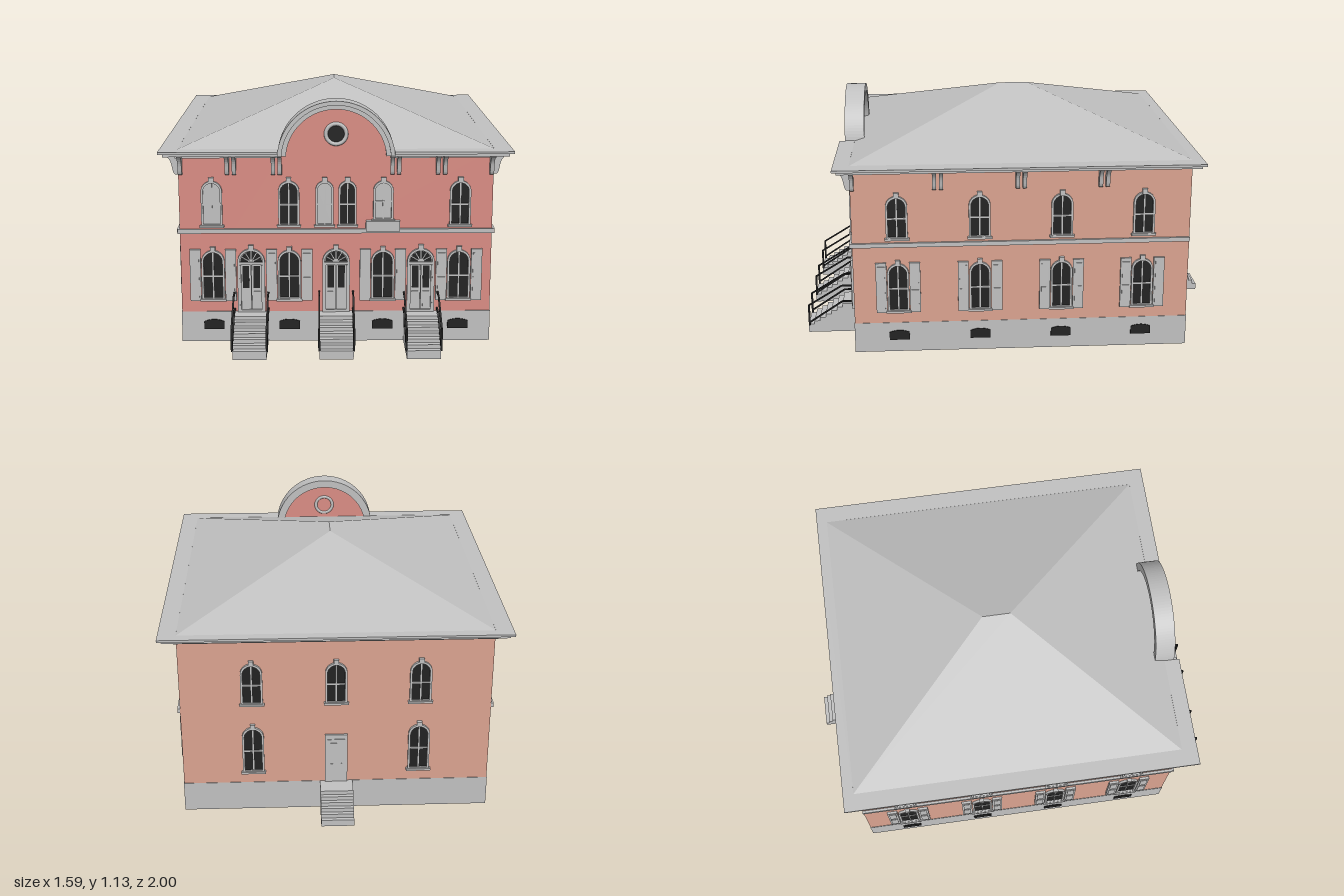
import * as THREE from 'three';

const mat = (name, color, side = THREE.FrontSide) =>
  Object.assign(new THREE.MeshStandardMaterial({ color, side }), { name });
const stone = mat('stone grey', 0xc0c0c0, THREE.DoubleSide);
const frontBrick = mat('front brick red', 0xd88c83, THREE.DoubleSide);
const sideBrick = mat('side brick salmon', 0xd9a28f, THREE.DoubleSide);
const black = mat('black', 0x222222, THREE.DoubleSide);

const X = 0.713, ZF = 0.757, ZB = -0.807, BASE = 0.145, EAVE = 0.905;

function add(parent, name, geo, material, x = 0, y = 0, z = 0) {
  const m = new THREE.Mesh(geo, material);
  m.name = name;
  m.position.set(x, y, z);
  parent.add(m);
  return m;
}
const box = (p, name, w, h, d, material, x, y, z) =>
  add(p, name, new THREE.BoxGeometry(w, h, d), material, x, y, z);
const extrude = (shape, depth) =>
  new THREE.ExtrudeGeometry(shape, { depth, bevelEnabled: false, curveSegments: 10 });
function group(parent, name, x = 0, y = 0, z = 0) {
  const g = new THREE.Group();
  g.name = name;
  g.position.set(x, y, z);
  parent.add(g);
  return g;
}
const poly = pts => new THREE.Shape(pts.map(p => new THREE.Vector2(...p)));

// Round-headed outline
function arch(hw, y0, top, Type = THREE.Shape) {
  const s = new Type();
  s.moveTo(-hw, y0);
  s.lineTo(hw, y0);
  s.absarc(0, top - hw, hw, 0, Math.PI, false);
  s.lineTo(-hw, y0);
  return s;
}
function archFrame(hw, y0, top, t, depth) {
  const s = arch(hw, y0, top);
  s.holes.push(arch(hw - t, y0 + t, top - t, THREE.Path));
  return extrude(s, depth);
}

// Arched window on a wall facing +z; blind ones are closed in grey
function windowAt(wall, u, y0, top, { hw = 0.05, blind = false, shutters = false } = {}) {
  const g = group(wall, 'window', u);
  add(g, 'windowFrame', archFrame(hw, y0, top, 0.01, 0.012), stone);
  add(g, 'windowPane', new THREE.ShapeGeometry(arch(hw - 0.009, y0 + 0.008, top - 0.009)),
    blind ? stone : black, 0, 0, 0.003);
  add(g, 'innerPanel', extrude(arch(hw, y0, top), 0.012), stone, 0, 0, -0.014);
  const h = top - y0;
  box(g, 'mullion', 0.006, h - 0.015, 0.005, stone, 0, y0 + h / 2, 0.005);
  box(g, 'transom', 2 * hw - 0.015, 0.007, 0.005, stone, 0, y0 + h * 0.48, 0.005);
  box(g, 'sill', 2 * hw + 0.014, 0.01, 0.02, stone, 0, y0, 0.008);
  box(g, 'keystone', 0.024, 0.026, 0.016, stone, 0, top + 0.004, 0.008);
  if (shutters) for (const s of [-1, 1]) {
    box(g, 'shutter', 0.05, 0.245, 0.012, stone, s * (hw + 0.028), 0.322, 0.006);
    for (const y of [0.265, 0.38])
      box(g, 'shutterPanel', 0.034, 0.095, 0.004, stone, s * (hw + 0.028), y, 0.013);
  }
}

// Arched double door with a fanlight
function frontDoor(wall, u) {
  const g = group(wall, 'frontDoor', u);
  add(g, 'doorFrame', archFrame(0.063, BASE, 0.447, 0.01, 0.014), stone);
  add(g, 'doorLeaves', new THREE.ShapeGeometry(arch(0.055, BASE, 0.44)), stone, 0, 0, 0.003);
  add(g, 'innerPanel', extrude(arch(0.063, BASE, 0.447), 0.012), stone, 0, 0, -0.014);
  add(g, 'fanlight', new THREE.CircleGeometry(0.05, 16, 0, Math.PI), black, 0, 0.384, 0.005);
  add(g, 'fanHub', new THREE.CircleGeometry(0.014, 10, 0, Math.PI), stone, 0, 0.384, 0.008);
  for (let i = 1; i < 6; i++) {
    const a = i * Math.PI / 6;
    const ray = box(g, 'fanRay', 0.05, 0.004, 0.004, stone,
      Math.cos(a) * 0.026, 0.384 + Math.sin(a) * 0.026, 0.007);
    ray.rotation.z = a;
  }
  box(g, 'doorTransom', 0.11, 0.012, 0.012, stone, 0, 0.378, 0.008);
  box(g, 'doorMeeting', 0.005, 0.23, 0.006, stone, 0, 0.26, 0.006);
  for (const s of [-1, 1]) {
    box(g, 'doorGlass', 0.03, 0.105, 0.004, black, s * 0.025, 0.312, 0.004);
    box(g, 'doorPanel', 0.03, 0.075, 0.005, stone, s * 0.025, 0.205, 0.005);
    box(g, 'doorPost', 0.007, 0.22, 0.012, stone, s * 0.05, 0.26, 0.007);
  }
  box(g, 'keystone', 0.024, 0.026, 0.016, stone, 0, 0.452, 0.008);
}

function basementVent(wall, u) {
  const s = new THREE.Shape();
  s.moveTo(-0.047, 0.06);
  s.lineTo(0.047, 0.06);
  s.lineTo(0.047, 0.098);
  s.quadraticCurveTo(0, 0.118, -0.047, 0.098);
  add(wall, 'basementVent', extrude(s, 0.004), black, u, 0, 0.004);
  box(wall, 'ventSurround', 0.1, 0.05, 0.02, stone, u, 0.085, -0.016);
}

// Curved bracket under the eaves
function bracket(wall, u) {
  const s = new THREE.Shape();
  s.moveTo(0, 0.795);
  s.lineTo(0.014, 0.795);
  s.bezierCurveTo(0.035, 0.81, 0.015, 0.865, 0.066, 0.887);
  s.lineTo(0, 0.887);
  const geo = extrude(s, 0.018).translate(0, 0, -0.009).rotateY(-Math.PI / 2);
  add(wall, 'eaveBracket', geo, stone, u);
}

// Flight of steps leading away from the wall
function steps(wall, u, landing, end, bottom, low, n) {
  const pts = [[0, bottom], [0, BASE], [landing, BASE]];
  for (let i = 1; i <= n; i++) {
    const y = BASE - i * (BASE - low) / n;
    pts.push([landing + (i - 1) * (end - landing) / n, y], [landing + i * (end - landing) / n, y]);
  }
  pts.push([end, bottom]);
  const geo = extrude(poly(pts), 0.152).translate(0, 0, -0.076).rotateY(-Math.PI / 2);
  add(wall, 'steps', geo, stone, u);
}
function railing(wall, u) {
  const bar = (z0, y0, z1, y1, t) => {
    const m = box(wall, 'handrail', 0.008, t, Math.hypot(z1 - z0, y1 - y0), black,
      u, (y0 + y1) / 2, (z0 + z1) / 2);
    m.rotation.x = -Math.atan2(y1 - y0, z1 - z0);
  };
  for (const [hi, lo] of [[0.24, 0.14], [0.158, 0.05]]) {
    bar(0, hi, 0.075, hi, 0.007);
    bar(0.075, hi, 0.24, lo, 0.007);
  }
  box(wall, 'railPost', 0.009, 0.105, 0.009, black, u, 0.09, 0.238);
}

// Horizontal frame running round the house, open at the front gable
function eaveRing(parent, name, x, zf, zb, y, h, xi = X, zfi = ZF, zbi = ZB, n = 0.262) {
  const s = poly([[n, zf], [x, zf], [x, zb], [-x, zb], [-x, zf], [-n, zf],
    [-n, zfi], [-xi, zfi], [-xi, zbi], [xi, zbi], [xi, zfi], [n, zfi]].map(([a, b]) => [a, -b]));
  add(parent, name, extrude(s, h).rotateX(-Math.PI / 2), stone, 0, y);
}

function hipRoof() {
  const v = [[-0.715, 0.91, 0.757], [0.715, 0.91, 0.757], [0.715, 0.91, -0.81], [-0.715, 0.91, -0.81],
    [0, 1.135, 0.035], [0, 1.135, -0.1]];
  const idx = [0, 1, 4, 1, 2, 5, 1, 5, 4, 2, 3, 5, 3, 0, 4, 3, 4, 5];
  const g = new THREE.BufferGeometry();
  g.setAttribute('position', new THREE.Float32BufferAttribute(idx.flatMap(i => v[i]), 3));
  g.computeVertexNormals();
  return g;
}

function halfRing(r1, r0, depth) {
  const s = new THREE.Shape();
  s.absarc(0, 0, r1, 0.06, Math.PI - 0.06, false);
  s.absarc(0, 0, r0, Math.PI - 0.06, 0.06, true);
  return new THREE.ExtrudeGeometry(s, { depth, bevelEnabled: false, curveSegments: 28 });
}

export function createModel() {
  const house = new THREE.Group();
  house.name = 'house';

  // Stone base, open underneath
  const base = poly([[-X - 0.002, -ZF - 0.002], [X + 0.002, -ZF - 0.002],
    [X + 0.002, -ZB + 0.002], [-X - 0.002, -ZB + 0.002]]);
  base.holes.push(new THREE.Path([[-X + 0.006, -ZF + 0.006], [-X + 0.006, -ZB - 0.006],
    [X - 0.006, -ZB - 0.006], [X - 0.006, -ZF + 0.006]].map(p => new THREE.Vector2(...p))));
  add(house, 'stoneBase', extrude(base, BASE).rotateX(-Math.PI / 2), stone);

  // Front wall rising into the round gable
  const front = group(house, 'frontWall', 0, 0, ZF);
  const fs = new THREE.Shape();
  fs.moveTo(-X, BASE);
  fs.lineTo(X, BASE);
  fs.lineTo(X, EAVE);
  fs.lineTo(0.24, EAVE);
  fs.absarc(0, 0.87, 0.242, 0.145, Math.PI - 0.145, false);
  fs.lineTo(-X, EAVE);
  add(front, 'frontBrickwork', new THREE.ShapeGeometry(fs, 28), frontBrick);
  add(front, 'gableArch', halfRing(0.265, 0.226, 0.08), stone, 0, 0.87, -0.047);
  add(front, 'gableLip', halfRing(0.265, 0.246, 0.014), stone, 0, 0.87, 0.033);
  add(front, 'oculusPane', new THREE.CircleGeometry(0.042, 24), black, 0, 0.98, 0.003);
  add(front, 'oculusFrame', new THREE.TorusGeometry(0.046, 0.009, 8, 28), stone, 0, 0.98, 0.003);
  for (const u of [-0.565, -0.215, 0.215, 0.565]) {
    windowAt(front, u, 0.203, 0.44, { hw: 0.053, shutters: true });
    basementVent(front, u);
  }
  for (const [u, blind, hw, y0] of [[-0.565, true, 0.048, 0.555], [-0.215, false, 0.048, 0.555],
    [-0.052, true, 0.041, 0.555], [0.052, false, 0.041, 0.555],
    [0.215, true, 0.046, 0.58], [0.565, false, 0.048, 0.555]])
    windowAt(front, u, y0, 0.765, { blind, hw });
  box(front, 'balconyBlock', 0.155, 0.048, 0.024, stone, 0.213, 0.556, 0.012);
  for (const u of [-0.39, 0, 0.39]) {
    frontDoor(front, u);
    steps(front, u, 0.075, 0.243, 0, 0.04, 6);
    for (const s of [-1, 1]) railing(front, u + s * 0.078);
  }
  for (const s of [-1, 1])
    for (const u of [0.254, 0.284, 0.46, 0.492, 0.703]) bracket(front, s * u);
  box(front, 'beltCourse', 2 * X + 0.02, 0.02, 0.012, stone, 0, 0.531, 0.006);

  // Matching side walls
  const depth = ZF - ZB, mid = (ZF + ZB) / 2;
  for (const s of [-1, 1]) {
    const side = group(house, s > 0 ? 'leftWall' : 'rightWall', s * X);
    side.rotation.y = s * Math.PI / 2;
    add(side, 'sideBrickwork', new THREE.PlaneGeometry(depth, EAVE - BASE), sideBrick,
      -s * mid, (EAVE + BASE) / 2);
    for (const z of [0.55, 0.17, -0.21, -0.59]) {
      windowAt(side, -s * z, 0.203, 0.44, { shutters: true });
      windowAt(side, -s * z, 0.56, 0.765);
      basementVent(side, -s * z);
    }
    for (const z of [0.747, 0.376, 0.344, -0.004, -0.036, -0.384, -0.416]) bracket(side, -s * z);
    box(side, 'beltCourse', depth, 0.02, 0.012, stone, -s * mid, 0.531, 0.006);
  }

  // Plain back wall with a square door and steps
  const back = group(house, 'backWall', 0, 0, ZB);
  back.rotation.y = Math.PI;
  add(back, 'backBrickwork', new THREE.PlaneGeometry(2 * X, EAVE - BASE), sideBrick, 0, (EAVE + BASE) / 2);
  for (const u of [-0.385, 0, 0.385]) {
    windowAt(back, u, 0.56, 0.765);
    if (u) windowAt(back, u, 0.203, 0.44);
  }
  box(back, 'backDoorFrame', 0.104, 0.25, 0.02, stone, 0, 0.27, 0);
  box(back, 'backDoor', 0.08, 0.225, 0.006, stone, 0, 0.26, 0.011);
  for (const y of [0.205, 0.315]) box(back, 'backDoorPanel', 0.055, 0.08, 0.006, stone, 0, y, 0.014);
  steps(back, 0, 0.095, 0.193, 0.018, 0.05, 5);

  // Cornice and roof
  eaveRing(house, 'frieze', X + 0.012, ZF + 0.012, ZB - 0.008, 0.872, 0.015);
  eaveRing(house, 'cornice', 0.776, 0.812, -0.84, 0.886, 0.014);
  eaveRing(house, 'eave', 0.795, 0.83, -0.858, 0.9, 0.011);
  add(house, 'hipRoof', hipRoof(), stone);
  return house;
}
